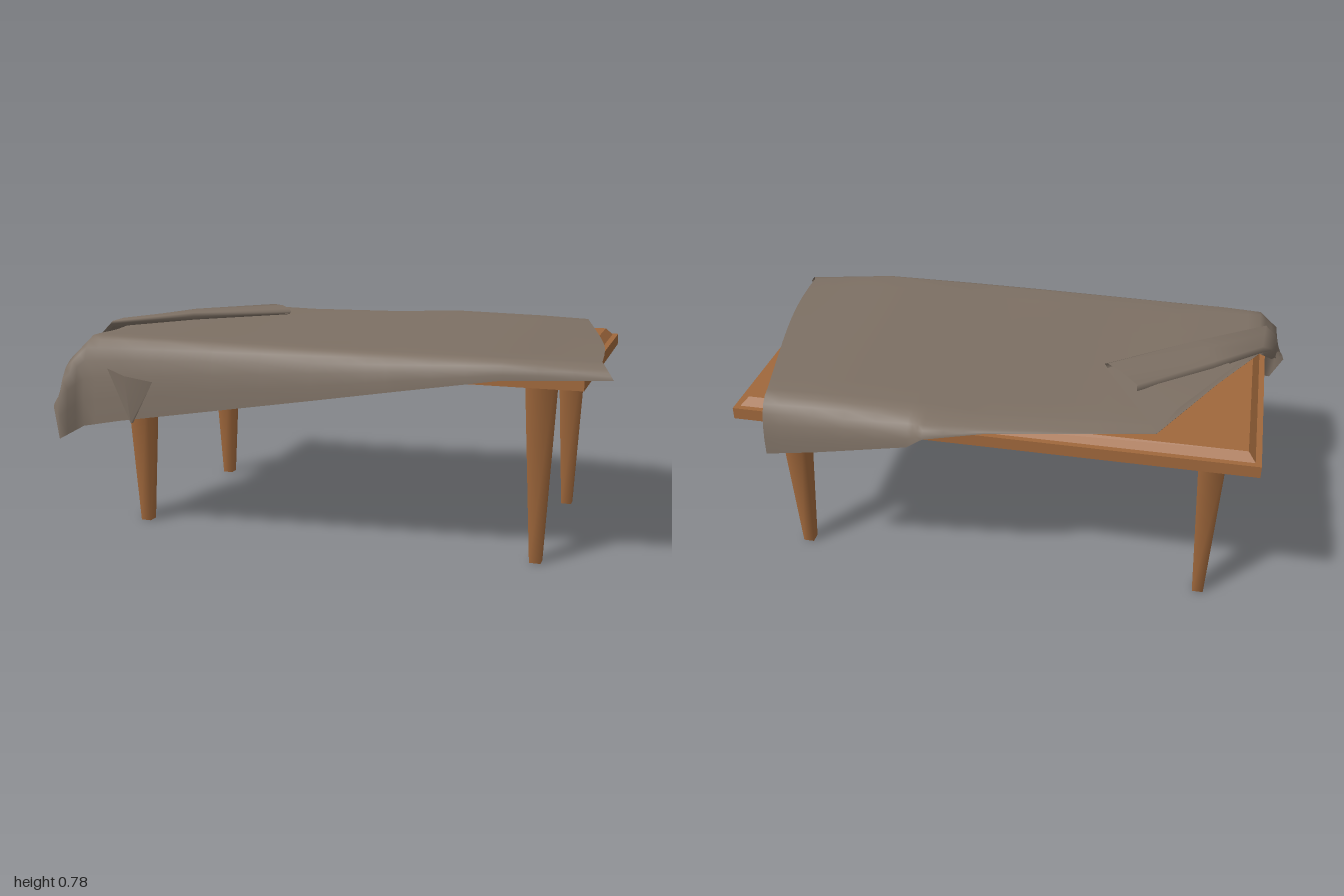
import * as THREE from 'three';

const wood = new THREE.MeshStandardMaterial({ color: 0xa0683c });
wood.name = 'wood';
const cloth = new THREE.MeshStandardMaterial({ color: 0x7d7064, side: THREE.DoubleSide });
cloth.name = 'cloth';

const V = (a) => new THREE.Vector3(...a);

function addMesh(parent, name, geometry, material) {
  const mesh = new THREE.Mesh(geometry, material);
  mesh.name = name;
  parent.add(mesh);
  return mesh;
}

// Smooth sheet through rows of equally many points
function sheet(rows) {
  const n = rows[0].length, index = [];
  for (let r = 0; r < rows.length - 1; r++) {
    for (let c = 0; c < n - 1; c++) {
      const a = r * n + c, b = a + n;
      index.push(a, a + 1, b, b, a + 1, b + 1);
    }
  }
  const g = new THREE.BufferGeometry().setFromPoints(rows.flat());
  g.setIndex(index);
  g.computeVertexNormals();
  return g;
}

// Cross-section of the cloth: back drop, wavy top, front drop
function clothRow([backHem, backTop, frontTop, frontHem]) {
  const drop = (top, hem) => new THREE.QuadraticBezierCurve3(
    top, new THREE.Vector3((top.x + hem.x) / 2, top.y - 0.01, hem.z), hem).getPoints(6);
  const row = drop(backTop, backHem).reverse();
  for (let i = 1; i < 10; i++) {
    const t = i / 10, p = backTop.clone().lerp(frontTop, t), swell = Math.sin(Math.PI * t);
    p.y += 0.004 * swell * Math.sin(p.x * 11 + t * 4);
    if (p.x > 0.7) p.x += 0.03 * swell * (p.x - 0.7) / 0.2;
    row.push(p);
  }
  return row.concat(drop(frontTop, frontHem));
}

export function createModel() {
  const model = new THREE.Group();
  model.name = 'drapedTable';

  // Table
  const table = new THREE.Group();
  table.name = 'table';
  table.position.z = -0.02;
  model.add(table);
  addMesh(table, 'tableTop', new THREE.BoxGeometry(1.81, 0.042, 1.02), wood).position.y = 0.653;

  const panel = new THREE.BoxGeometry(1.77, 0.026, 0.98);
  const pos = panel.attributes.position;
  for (let i = 0; i < pos.count; i++) {
    if (pos.getY(i) > 0) {
      pos.setX(i, pos.getX(i) - Math.sign(pos.getX(i)) * 0.025);
      pos.setZ(i, pos.getZ(i) - Math.sign(pos.getZ(i)) * 0.025);
    }
  }
  panel.computeVertexNormals();
  addMesh(table, 'bevelledPanel', panel, wood).position.y = 0.687;

  // Square tapered legs
  const legShape = new THREE.CylinderGeometry(0.068, 0.028, 0.635, 4).rotateY(Math.PI / 4);
  for (const x of [-0.75, 0.75]) {
    for (const z of [-0.352, 0.375]) {
      addMesh(table, 'leg', legShape, wood).position.set(x, 0.3175, z);
    }
  }

  // Cloth stations from right to left: back hem, back top, front top, front hem
  const stations = [
    [[0.78, 0.53, -0.576], [0.79, 0.735, -0.48], [0.95, 0.718, 0.42], [0.995, 0.672, 0.49]],
    [[0.6, 0.565, -0.585], [0.6, 0.742, -0.48], [0.65, 0.727, 0.49], [0.65, 0.66, 0.54]],
    [[0.26, 0.64, -0.597], [0.26, 0.748, -0.48], [0.3, 0.727, 0.49], [0.3, 0.605, 0.56]],
    [[0.2, 0.69, -0.615], [0.2, 0.745, -0.48], [0.2, 0.727, 0.49], [0.2, 0.588, 0.56]],
    [[0, 0.71, -0.57], [0, 0.735, -0.48], [0, 0.727, 0.49], [0, 0.554, 0.56]],
    [[-0.56, 0.732, -0.49], [-0.56, 0.735, -0.42], [-0.56, 0.727, 0.48], [-0.56, 0.46, 0.555]],
    [[-0.74, 0.725, -0.12], [-0.74, 0.73, -0.06], [-0.74, 0.727, 0.48], [-0.74, 0.43, 0.553]],
    [[-0.88, 0.725, 0.13], [-0.88, 0.73, 0.18], [-0.88, 0.725, 0.47], [-0.89, 0.4, 0.55]],
    [[-0.935, 0.63, 0.27], [-0.95, 0.67, 0.33], [-0.95, 0.65, 0.48], [-0.955, 0.36, 0.61]],
    [[-0.96, 0.56, 0.42], [-0.96, 0.55, 0.46], [-0.965, 0.53, 0.51], [-1.0, 0.47, 0.57]],
  ].map((s) => s.map(V));
  const rows = [];
  stations.forEach((s, i) => {
    const next = stations[i + 1];
    if (!next) rows.push(clothRow(s));
    else for (let k = 0; k < 3; k++) rows.push(clothRow(s.map((p, j) => p.clone().lerp(next[j], k / 3))));
  });
  const drape = new THREE.Group();
  drape.name = 'drape';
  model.add(drape);
  addMesh(drape, 'clothSheet', sheet(rows), cloth);

  // Corner folded back over the top, as a flattened roll
  const roll = [
    [[-0.945, 0.67, 0.4], [-0.945, 0.67, 0.31], 0.02],
    [[-0.9, 0.755, 0.32], [-0.89, 0.75, 0.14], 0.025],
    [[-0.65, 0.772, 0.12], [-0.72, 0.768, -0.04], 0.03],
    [[-0.34, 0.772, -0.12], [-0.47, 0.772, -0.26], 0.025],
  ].map(([front, back, h]) => {
    const f = V(front), b = V(back), down = new THREE.Vector3(0, -h, 0);
    const mid = f.clone().lerp(b, 0.5);
    mid.y += 0.005;
    return [f.clone().add(down).lerp(b, 0.1), f.clone().addScaledVector(down, 0.4), f.clone().lerp(b, 0.1),
      mid, b, b.clone().add(down)];
  });
  addMesh(drape, 'foldedRoll', sheet(roll), cloth);

  // Loose layer under the roll
  addMesh(drape, 'foldUnderlay', sheet([
    [V([-0.56, 0.738, -0.485]), V([-0.34, 0.752, -0.12])],
    [V([-0.62, 0.742, -0.33]), V([-0.47, 0.756, -0.1])],
    [V([-0.79, 0.738, -0.01]), V([-0.7, 0.742, 0.1])],
  ]), cloth);

  // Pointed pleat on the front drop
  addMesh(drape, 'frontPleat', sheet([
    [V([-0.78, 0.62, 0.55]), V([-0.69, 0.428, 0.558])],
    [V([-0.7, 0.6, 0.572]), V([-0.685, 0.428, 0.565])],
    [V([-0.6, 0.58, 0.55]), V([-0.68, 0.428, 0.558])],
  ]), cloth);

  return model;
}
